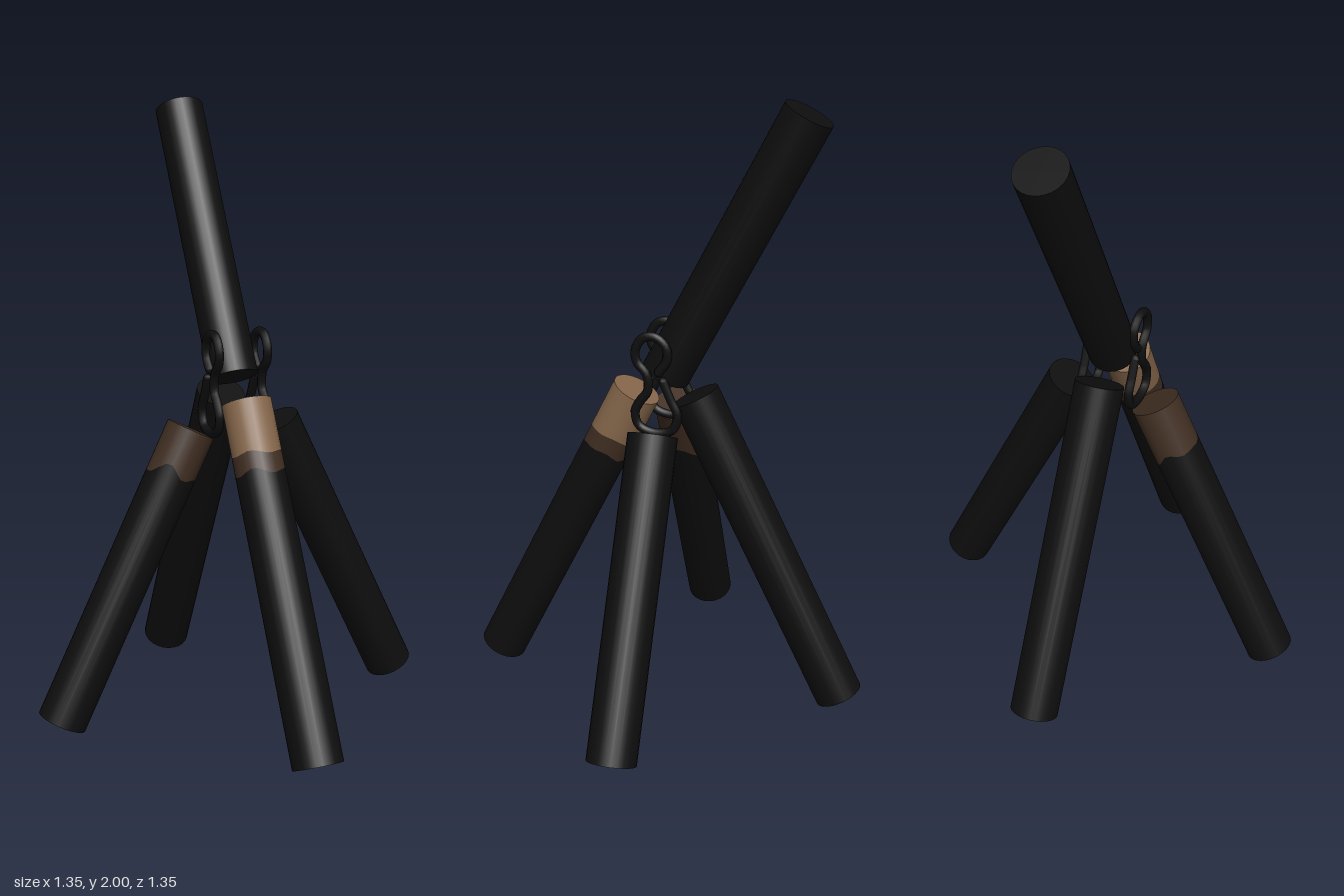
import * as THREE from 'three';

const SIDES = 24;
const RADIUS = 0.08;

export function createModel() {
  const mat = (name, color) => new THREE.MeshStandardMaterial({ name, color });
  const black = mat('black', 0x0e0e0e);
  const brown = mat('darkBrown', 0x402e22);
  const tan = mat('tan', 0x86674b);

  const model = new THREE.Group();
  model.name = 'tubeStand';

  // Open tube wall whose two rims follow functions of the angle
  function wall(name, material, upper, lower) {
    const geo = new THREE.CylinderGeometry(RADIUS, RADIUS, 1, SIDES, 1, true);
    const p = geo.attributes.position;
    for (let i = 0; i < p.count; i++) {
      const a = Math.atan2(p.getX(i), p.getZ(i));
      p.setY(i, p.getY(i) > 0 ? upper(a) : lower(a));
    }
    const mesh = new THREE.Mesh(geo, material);
    mesh.name = name;
    return mesh;
  }

  function cap(name, material, y, up) {
    const mesh = new THREE.Mesh(new THREE.CircleGeometry(RADIUS, SIDES), material);
    mesh.rotation.x = up ? -Math.PI / 2 : Math.PI / 2;
    mesh.position.y = y;
    mesh.name = name;
    return mesh;
  }

  // Tube from bottom to top; bands list a material and its depth below the top by angle
  function tube(name, bottom, top, bands = []) {
    const a = new THREE.Vector3(...bottom);
    const b = new THREE.Vector3(...top);
    const length = a.distanceTo(b);
    const group = new THREE.Group();
    group.name = name;
    group.position.copy(a);
    group.quaternion.setFromUnitVectors(new THREE.Vector3(0, 1, 0), b.sub(a).normalize());
    let upper = () => length;
    for (const [material, depth] of bands) {
      const edge = (t) => length - depth(t);
      group.add(wall(name + 'Band', material, upper, edge));
      upper = edge;
    }
    group.add(wall(name + 'Wall', black, upper, () => 0));
    group.add(cap(name + 'TopCap', bands.length ? bands[0][0] : black, length, true));
    group.add(cap(name + 'BottomCap', black, 0, false));
    model.add(group);
  }

  // Ragged edge of a worn band
  const ragged = (base, swing, ripple) => (t) =>
    base + swing * Math.cos(t) + ripple * Math.sin(3 * t + 0.6) + ripple * 0.6 * Math.cos(5 * t);

  // Four splayed legs, the front and right ones with bare tops
  tube('frontLeg', [0, 0.037, 0.604], [0, 1.054, 0.098], [
    [tan, ragged(0.168, 0.008, 0.005)],
    [brown, ragged(0.23, 0.006, 0.008)],
  ]);
  tube('backLeg', [0, 0.037, -0.604], [0, 1.054, -0.098]);
  tube('leftLeg', [0.604, 0.046, 0], [0.15, 0.963, 0]);
  tube('rightLeg', [-0.604, 0.046, 0], [-0.15, 0.963, 0], [
    [brown, ragged(0.162, -0.02, 0.014)],
  ]);

  // Tube leaning back above the legs
  tube('upperTube', [0, 1.12, 0], [0, 1.964, -0.435]);

  // Bent wire hook on each side of the joint, as z and y pairs
  const path = [
    [-0.015, 1.12], [-0.04, 1.06], [-0.062, 1.01], [-0.045, 0.96], [0.01, 0.945],
    [0.065, 0.965], [0.078, 1.01], [0.06, 1.05], [0.036, 1.085], [0.04, 1.14],
    [0.072, 1.18], [0.076, 1.22], [0.05, 1.26], [0.01, 1.265], [-0.024, 1.235],
    [-0.026, 1.19], [0, 1.15],
  ];
  for (const side of [-1, 1]) {
    const curve = new THREE.CatmullRomCurve3(
      path.map(([z, y]) => new THREE.Vector3(side * 0.084, y, z)));
    const hook = new THREE.Mesh(new THREE.TubeGeometry(curve, 64, 0.015, 8), black);
    hook.name = side > 0 ? 'leftHook' : 'rightHook';
    model.add(hook);
    // Rounded wire ends
    for (const [z, y] of [path[0], path[path.length - 1]]) {
      const end = new THREE.Mesh(new THREE.SphereGeometry(0.015, 8, 6), black);
      end.position.set(side * 0.084, y, z);
      end.name = 'hookEnd';
      model.add(end);
    }
  }

  return model;
}
